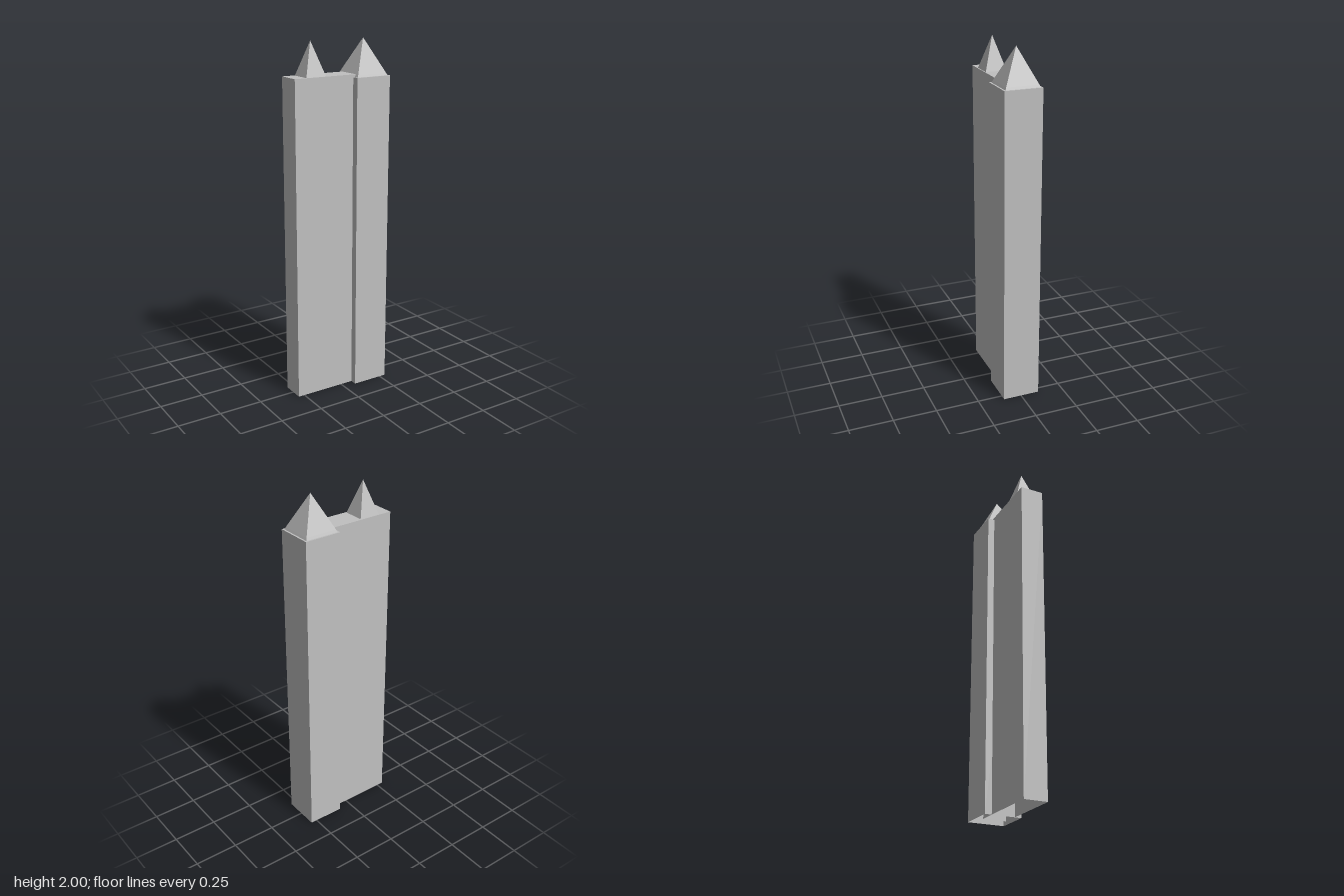
import * as THREE from 'three';

const stone = new THREE.MeshStandardMaterial({ color: 0xc0c0c0, side: THREE.DoubleSide });
stone.name = 'grey stone';

function add(group, geometry, name, x, y, z) {
  const mesh = new THREE.Mesh(geometry, stone);
  mesh.name = name;
  mesh.position.set(x, y, z);
  group.add(mesh);
}

// Box standing on the ground, hollow and open underneath
function shell(w, h, d) {
  const geometry = new THREE.BoxGeometry(w, h, d);
  const index = Array.from(geometry.index.array);
  index.splice(18, 6); // drop the bottom face
  geometry.setIndex(index);
  geometry.clearGroups();
  return geometry.translate(0, h / 2, 0);
}

// Four-sided frustum or pyramid aligned with the axes, given half widths
function taper(top, bottom, h) {
  return new THREE.CylinderGeometry(top * Math.SQRT2, bottom * Math.SQRT2, h, 4, 1, true)
    .rotateY(Math.PI / 4)
    .toNonIndexed()
    .translate(0, h / 2, 0);
}

function flat(geometry) {
  geometry.computeVertexNormals();
  return geometry;
}

export function createModel() {
  const model = new THREE.Group();
  model.name = 'twinSpireTower';

  // Slab, running into the middle of the square tower
  add(model, shell(0.465, 1.815, 0.134), 'slab', -0.0545, 0, -0.001);
  add(model, flat(taper(0, 0.06, 0.185)), 'slabSpire', -0.154, 1.815, 0);

  // Square tower with a shallow sloped curb below its roof
  add(model, shell(0.213, 1.8, 0.213), 'tower', 0.18, 0, -0.001);
  add(model, flat(taper(0.091, 0.097, 0.013)), 'roofCurb', 0.18, 1.8, -0.001);
  add(model, flat(taper(0, 0.091, 0.187)), 'roofSpire', 0.18, 1.813, -0.001);

  return model;
}
